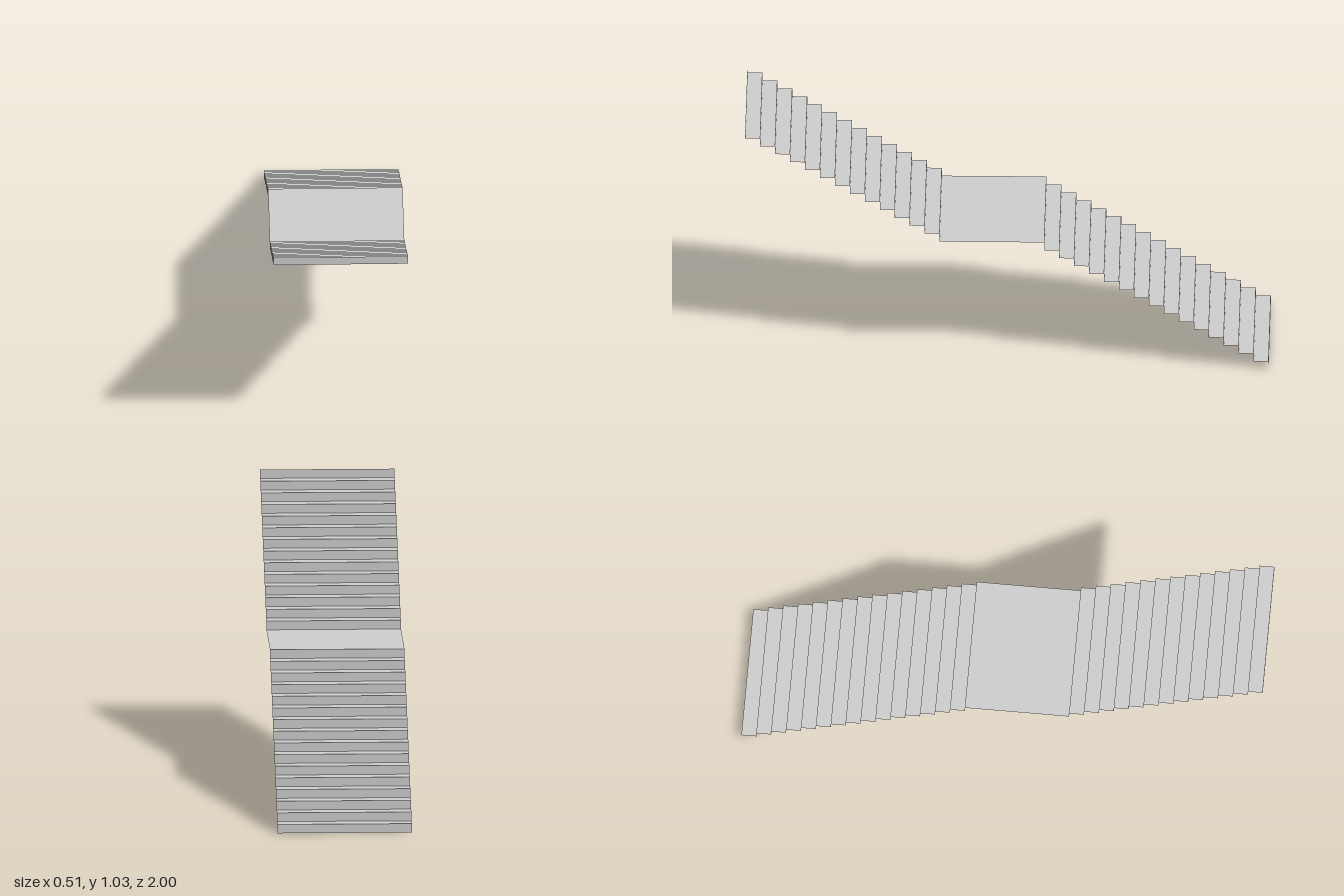
import * as THREE from 'three';
import { mergeGeometries } from 'three/addons/utils/BufferGeometryUtils.js';

const TREAD = 2 / 35;          // depth of one step
const RISE = TREAD * 0.6;      // height of one step
const WIDTH = TREAD * 9;
const LOWER = 15;              // treads below the landing
const UPPER = 13;              // treads above the landing
const LANDING = TREAD * 7;     // depth of the landing

// Upright sheet facing the back, standing at height y
const riser = (y, z) =>
  new THREE.PlaneGeometry(WIDTH, RISE).rotateY(Math.PI).translate(0, y + RISE / 2, z);

// Level sheet facing up, starting at z and running forward
const tread = (y, z, depth) =>
  new THREE.PlaneGeometry(WIDTH, depth).rotateX(-Math.PI / 2).translate(0, y, z + depth / 2);

// Open flight of steps: a riser before every tread and one more at the end
function flight(count, y, z) {
  const sheets = [];
  for (let i = 0; i <= count; i++) {
    sheets.push(riser(y + i * RISE, z + i * TREAD));
    if (i < count) sheets.push(tread(y + (i + 1) * RISE, z + i * TREAD, TREAD));
  }
  return mergeGeometries(sheets);
}

export function createModel() {
  const group = new THREE.Group();
  group.name = 'staircase';
  const material = new THREE.MeshStandardMaterial({
    color: 0xcccccc, flatShading: true, side: THREE.DoubleSide,
  });
  const add = (name, geometry) => {
    const mesh = new THREE.Mesh(geometry, material);
    mesh.name = name;
    group.add(mesh);
  };

  // The stairs climb from the back to the front
  const landingY = (LOWER + 1) * RISE;
  const landingZ = -1 + LOWER * TREAD;
  add('lowerFlight', flight(LOWER, 0, -1));
  add('landing', tread(landingY, landingZ, LANDING));
  add('upperFlight', flight(UPPER, landingY, landingZ + LANDING));
  return group;
}
